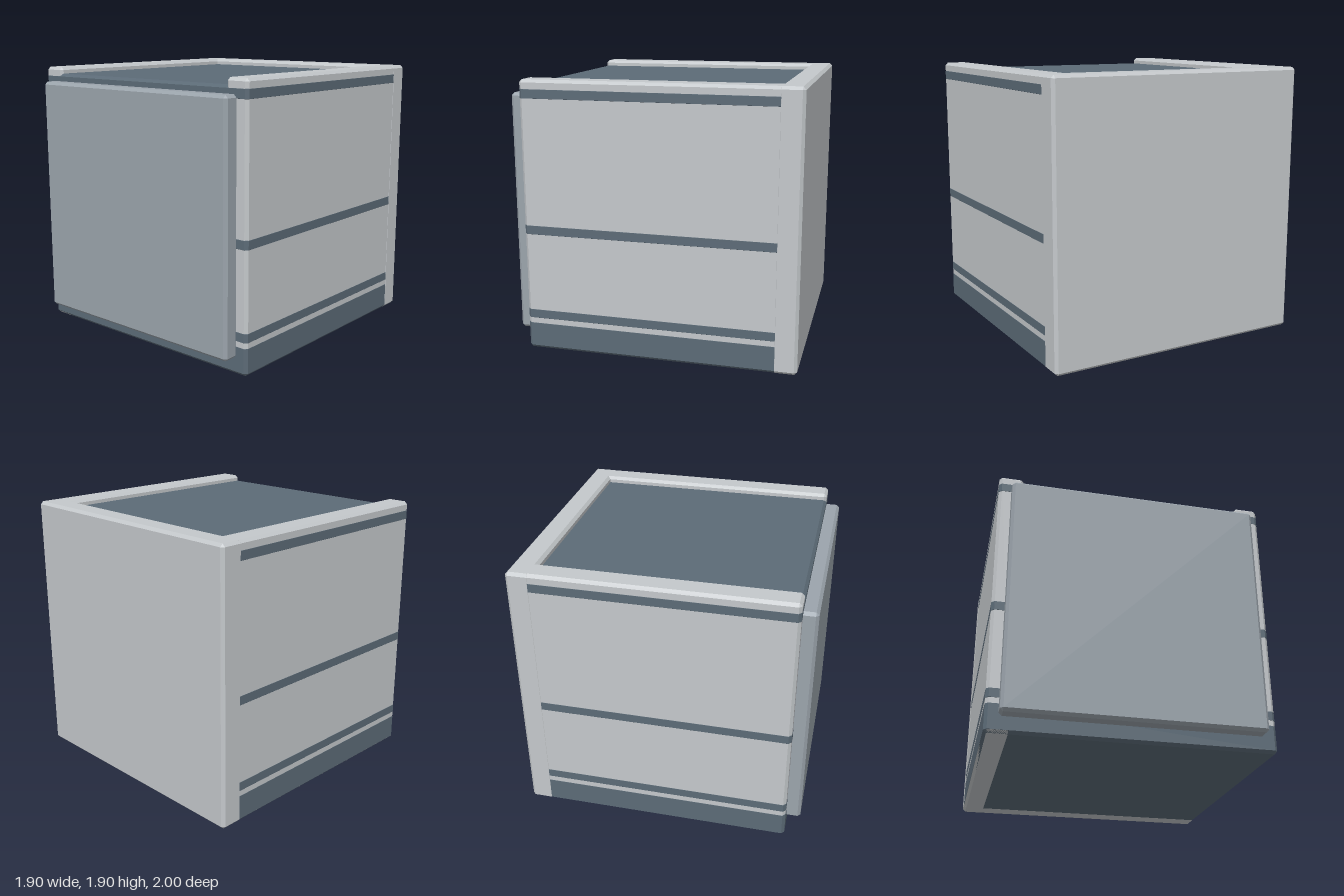
import * as THREE from 'three';
import { ConvexGeometry } from 'three/addons/geometries/ConvexGeometry.js';

const paint = (name, color) => {
  const m = new THREE.MeshStandardMaterial({ color });
  m.name = name;
  return m;
};

// Box with a 45 degree chamfer on every edge, given by its min and max corners
function chamferBox(min, max, b = 0.02) {
  const c = min.map((v, i) => (v + max[i]) / 2);
  const h = min.map((v, i) => (max[i] - v) / 2);
  const pts = [];
  for (const sx of [-1, 1]) for (const sy of [-1, 1]) for (const sz of [-1, 1])
    for (let full = 0; full < 3; full++) {
      const e = h.map((v, i) => (i === full ? v : v - b));
      pts.push(new THREE.Vector3(c[0] + sx * e[0], c[1] + sy * e[1], c[2] + sz * e[2]));
    }
  return new ConvexGeometry(pts);
}

export function createModel() {
  const model = new THREE.Group();
  model.name = 'cabinet';
  const shell = paint('lightGreyShell', 0xc4c8cb);
  const slate = paint('slateShelf', 0x5c6b77);
  const doorGrey = paint('greyDoor', 0x9ba4ac);

  const add = (name, material, min, max) => {
    const mesh = new THREE.Mesh(chamferBox(min, max), material);
    mesh.name = name;
    model.add(mesh);
  };

  // Outer walls; the back wall stands a hair proud so it covers the shelf ends
  add('leftWall', shell, [0.78, 0.002, -0.999], [0.95, 1.9, 0.9]);
  add('rightWall', shell, [-0.95, 0, -0.999], [-0.78, 1.9, 0.9]);
  add('backWall', shell, [-0.952, 0, -1], [0.952, 1.9, -0.83]);

  // Base and shelves run through the side walls and show as bands outside
  const levels = [
    ['base', 0.001, 0.21],
    ['lowerShelf', 0.21, 0.31],
    ['middleShelf', 0.82, 0.92],
    ['topShelf', 1.755, 1.855],
  ];
  for (const [name, y0, y1] of levels)
    add(name, slate, [-0.951, y0, -0.998], [0.951, y1, 0.901]);

  // Door panel, its rear edge sunk into the body
  add('door', doorGrey, [-0.865, 0.11, 0.87], [0.865, 1.8, 1]);

  return model;
}
